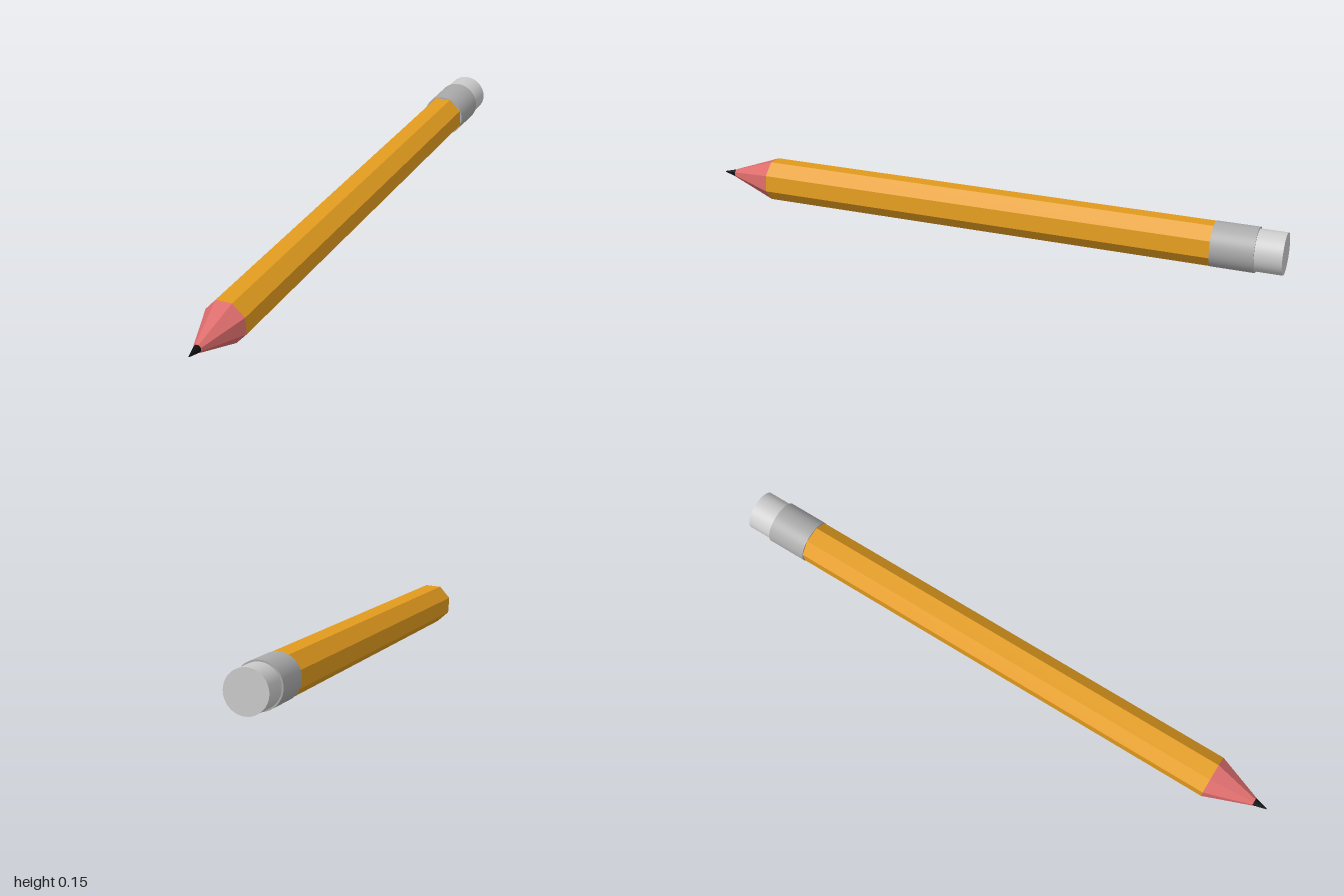
import * as THREE from 'three';

const TWIST = THREE.MathUtils.degToRad(26.5);

// Tapered section along z, from z0 (radius r0) to z1 (radius r1)
function section(name, z0, z1, r0, r1, sides, color, open = false) {
  const geo = new THREE.CylinderGeometry(r1, r0, z1 - z0, sides, 1, open, TWIST);
  geo.rotateX(Math.PI / 2);
  const mat = new THREE.MeshStandardMaterial({
    color, flatShading: sides === 8, side: open ? THREE.DoubleSide : THREE.FrontSide,
  });
  const mesh = new THREE.Mesh(geo, mat);
  mesh.name = name;
  mesh.position.z = (z0 + z1) / 2;
  return mesh;
}

export function createModel() {
  const pencil = new THREE.Group();
  pencil.name = 'pencil';
  pencil.add(
    // Octagonal shaft and sharpened end
    section('shaft', -0.8, 0.8, 0.073, 0.073, 8, 0xe39c1e),
    section('sharpenedWood', 0.8, 0.955, 0.073, 0.0145, 8, 0xdc6c6c),
    section('lead', 0.95, 1.0, 0.0145, 0.0015, 8, 0x0c0c0c),
    // Round band and eraser
    section('ferrule', -0.91, -0.77, 0.0738, 0.0738, 48, 0xaaaaaa),
    section('eraser', -0.998, -0.88, 0.0685, 0.0685, 48, 0xcccccc),
  );

  // The pencil lies slightly turned, tip a little raised
  pencil.rotation.set(-0.0035, 0.051, 0);
  pencil.position.set(0.004, 0.0768, 0);

  const model = new THREE.Group();
  model.name = 'model';
  model.add(pencil);
  return model;
}
